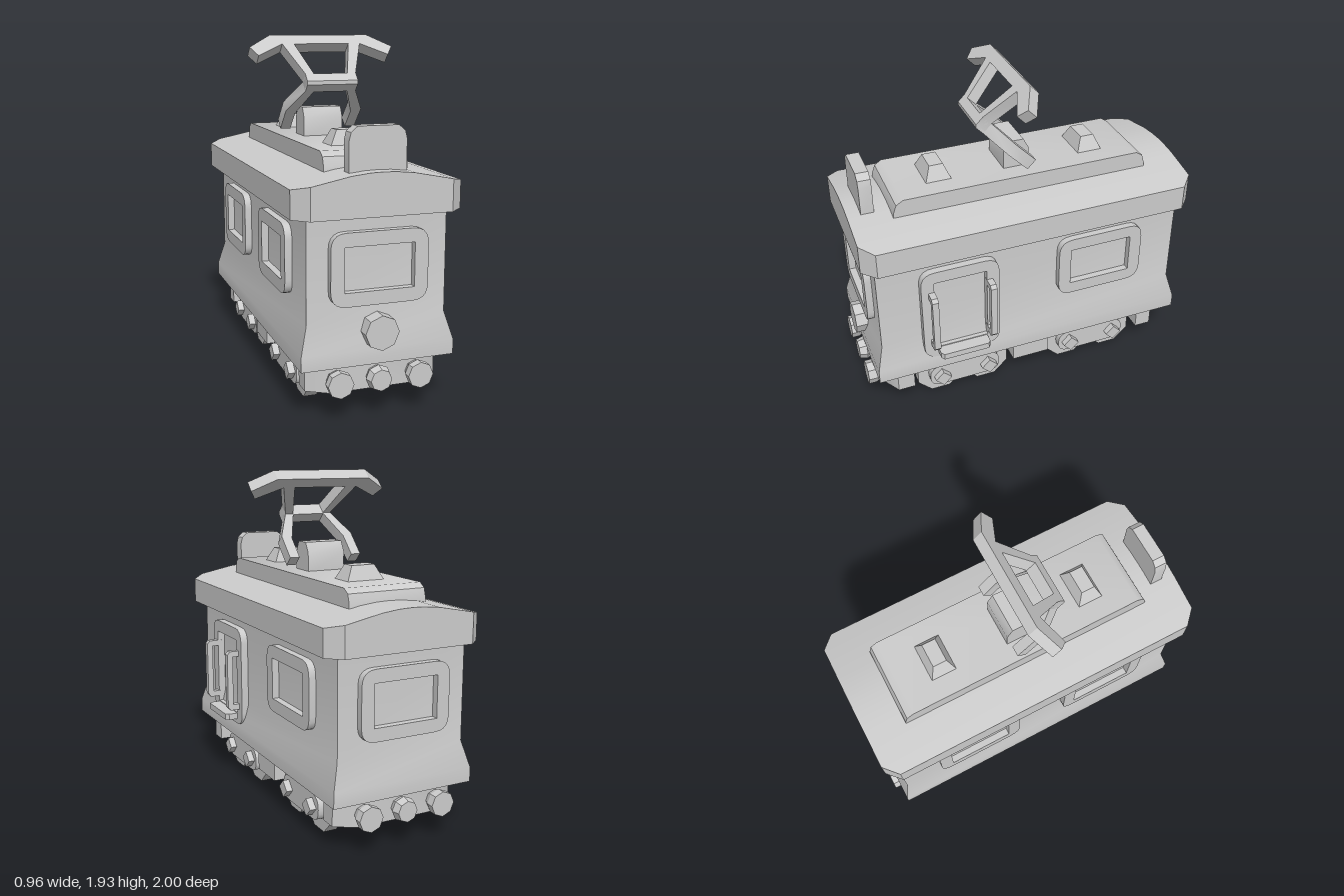
import * as THREE from 'three';
import { toCreasedNormals } from 'three/addons/utils/BufferGeometryUtils.js';

const grey = new THREE.MeshStandardMaterial({ color: 0xcccccc });

function add(parent, name, geometry, x = 0, y = 0, z = 0) {
  const mesh = new THREE.Mesh(toCreasedNormals(geometry, 0.6), grey);
  mesh.name = name;
  mesh.position.set(x, y, z);
  parent.add(mesh);
  return mesh;
}

const shapeOf = (pts) => new THREE.Shape(pts.map(([x, y]) => new THREE.Vector2(x, y)));
const extrude = (shape, depth) =>
  new THREE.ExtrudeGeometry(shape, { depth, bevelEnabled: false, curveSegments: 5 });

// Side profile of [z, y] points, extruded across the width
const across = (pts, half) =>
  extrude(shapeOf(pts.map(([z, y]) => [-z, y])), half * 2).translate(0, 0, -half).rotateY(Math.PI / 2);

// Skin over a row of rings, closed at both ends
function loft(rings) {
  const out = [];
  const n = rings[0].length;
  const tri = (...p) => p.forEach((v) => out.push(...v));
  for (let r = 0; r < rings.length - 1; r++) {
    for (let i = 0; i < n; i++) {
      const j = (i + 1) % n, a = rings[r], b = rings[r + 1];
      tri(a[i], a[j], b[j]);
      tri(a[i], b[j], b[i]);
    }
  }
  const first = rings[0], last = rings[rings.length - 1];
  for (let i = 1; i < n - 1; i++) {
    tri(first[0], first[i + 1], first[i]);
    tri(last[0], last[i], last[i + 1]);
  }
  const g = new THREE.BufferGeometry();
  g.setAttribute('position', new THREE.Float32BufferAttribute(out, 3));
  g.computeVertexNormals();
  return g;
}
const levelRing = ([y, hx, hz]) => [[hx, y, hz], [hx, y, -hz], [-hx, y, -hz], [-hx, y, hz]];

function roundedRect(w, h, r) {
  const s = new THREE.Shape(), x = w / 2, y = h / 2;
  s.moveTo(-x + r, -y).lineTo(x - r, -y).quadraticCurveTo(x, -y, x, -y + r);
  s.lineTo(x, y - r).quadraticCurveTo(x, y, x - r, y);
  s.lineTo(-x + r, y).quadraticCurveTo(-x, y, -x, y - r);
  s.lineTo(-x, -y + r).quadraticCurveTo(-x, -y, -x + r, -y);
  return s;
}

// Raised frame with a rectangular opening, turned to face its wall
function frame(parent, name, w, h, iw, ih, x, y, z, turn) {
  const s = roundedRect(w, h, 0.085);
  s.holes.push(new THREE.Path([[-1, -1], [-1, 1], [1, 1], [1, -1]]
    .map(([a, b]) => new THREE.Vector2(a * iw / 2, b * ih / 2))));
  add(parent, name, extrude(s, 0.08).translate(0, 0, -0.04), x, y, z).rotation.y = turn;
}

function addPantograph(parent) {
  const elbowY = 1.67, elbowZ = 0.205, t = 0.07;
  const mirrored = (half) => [...half, ...half.map(([x, y]) => [-x, y]).reverse()];
  const slab = (pts, hole) => {
    const s = shapeOf(pts);
    if (hole) s.holes.push(new THREE.Path(hole.map(([x, y]) => new THREE.Vector2(x, y))));
    return extrude(s, t).translate(0, 0, -t / 2);
  };
  // Upper arms with the winged contact bar
  add(parent, 'pantographUpperFrame', slab(
    mirrored([[0.15, -0.02], [0.15, 0.035], [0.235, 0.263], [0.39, 0.175], [0.43, 0.24], [0.295, 0.333]]),
    [[-0.1, 0.035], [0.1, 0.035], [0.165, 0.263], [-0.165, 0.263]],
  ), 0, elbowY, elbowZ).rotation.x = -Math.PI / 4;
  // Lower arms running down to the base
  add(parent, 'pantographLowerFrame', slab(
    mirrored([[0.15, 0.02], [0.15, -0.035], [0.23, -0.2], [0.23, -0.36], [0.17, -0.36], [0.17, -0.22], [0.1, -0.04]]),
  ), 0, elbowY, elbowZ).rotation.x = Math.PI / 4;
  add(parent, 'pantographElbow',
    across([[0.244, 1.681], [0.2, 1.7], [0.2, 1.64], [0.244, 1.659]], 0.15));
  add(parent, 'pantographBase', across(
    [[0.075, 1.34], [0.075, 1.46], [0.045, 1.52], [-0.045, 1.52], [-0.078, 1.46], [-0.078, 1.34]], 0.117));
}

function addBogie(parent, zc) {
  const bogie = new THREE.Group();
  bogie.name = 'bogie';
  bogie.position.z = zc;
  parent.add(bogie);
  // Rounded truck spanning between the wheels
  const truck = roundedRect(0.44, 0.145, 0.07);
  add(bogie, 'truck', extrude(truck, 0.69).translate(0, 0, -0.345).rotateY(Math.PI / 2), 0, 0.14, 0);
  add(bogie, 'pivot', new THREE.BoxGeometry(0.66, 0.12, 0.16), 0, 0.24, 0);
  for (const side of [-1, 1]) {
    for (const dz of [-0.147, 0.147]) {
      add(bogie, 'wheel',
        new THREE.CylinderGeometry(0.15, 0.15, 0.075, 8).rotateY(Math.PI / 8).rotateZ(Math.PI / 2),
        side * 0.265, 0.14, dz);
      add(bogie, 'hub',
        new THREE.CylinderGeometry(0.05, 0.05, 0.05, 4).rotateZ(Math.PI / 2), side * 0.358, 0.14, dz);
    }
  }
}

export function createModel() {
  const model = new THREE.Group();
  model.name = 'tram';
  const tram = new THREE.Group();
  tram.name = 'tramCar';
  tram.position.x = -0.022;
  model.add(tram);

  // Body with flared skirt
  add(tram, 'body', loft([
    [0.28, 0.42, 0.957], [0.36, 0.42, 0.957], [0.51, 0.38, 0.918], [1.1, 0.38, 0.918],
  ].map(levelRing)));

  // Arched roof with cut corners: x, top height, half length
  const half = [[0.46, 1.205, 0.915], [0.38, 1.225, 0.99], [0.17, 1.267, 0.99], [0.07, 1.278, 0.99]];
  const columns = [...half.map(([x, y, z]) => [-x, y, z]), [0, 1.28, 0.99], ...[...half].reverse()];
  add(tram, 'roof', loft(columns.map(([x, y, z]) =>
    [[x, y, -z], [x, y, z], [x, 1.055, z], [x, 1.055, -z]])));
  add(tram, 'roofDeck', across([[0.755, 1.24], [0.753, 1.28], [0.735, 1.33], [0.695, 1.355],
    [-0.71, 1.355], [-0.75, 1.33], [-0.765, 1.28], [-0.767, 1.24]], 0.232));

  // Roof vents and front sign board
  for (const z of [0.456, -0.464]) {
    add(tram, 'roofVent', loft([[1.345, 0.117, 0.078], [1.436, 0.07, 0.04]].map(levelRing)), 0, 0, z);
  }
  add(tram, 'signBoard', extrude(shapeOf([[-0.155, 1.2], [0.155, 1.2], [0.155, 1.43], [0.145, 1.47],
    [0.11, 1.5], [-0.11, 1.5], [-0.145, 1.47], [-0.155, 1.43]]), 0.073), 0, 0, 0.84);
  addPantograph(tram);

  // Windows on the ends and sides
  const win = (x, z, turn) => frame(tram, 'windowFrame', 0.53, 0.383, 0.38, 0.235, x, 0.788, z, turn);
  win(0, 0.918, 0);
  win(0, -0.918, Math.PI);
  win(0.38, -0.418, Math.PI / 2);
  win(-0.38, -0.418, -Math.PI / 2);
  win(-0.38, 0.418, -Math.PI / 2);

  // Door on the left side with step and grab handles
  frame(tram, 'doorFrame', 0.46, 0.605, 0.31, 0.46, 0.383, 0.675, 0.45, Math.PI / 2);
  add(tram, 'doorStep', extrude(shapeOf([[0.15, 0], [0.15, 0.08], [0.135, 0.1], [-0.135, 0.1],
    [-0.15, 0.08], [-0.15, 0]]), 0.037).rotateX(-Math.PI / 2).rotateY(-Math.PI / 2).rotateY(0),
  0.397, 0.403, 0.45).rotation.y = 0;
  const handle = shapeOf([[0.4, 0.475], [0.48, 0.475], [0.497, 0.495], [0.497, 0.825], [0.48, 0.845],
    [0.4, 0.845], [0.4, 0.81], [0.462, 0.81], [0.462, 0.51], [0.4, 0.51]]);
  for (const z of [0.26, 0.603]) add(tram, 'grabHandle', extrude(handle, 0.037), 0, 0, z);

  // Headlight
  add(tram, 'headlight', new THREE.CylinderGeometry(0.093, 0.093, 0.12, 8).rotateX(Math.PI / 2), 0, 0.455, 0.94);

  // End beams with buffers
  for (const turn of [0, Math.PI]) {
    const end = new THREE.Group();
    end.name = 'endBeam';
    end.rotation.y = turn;
    tram.add(end);
    add(end, 'beam', extrude(shapeOf([[-0.365, -0.74], [-0.365, -0.84], [-0.25, -0.91], [0.25, -0.91],
      [0.365, -0.84], [0.365, -0.74]].reverse()), 0.17).rotateX(-Math.PI / 2), 0, 0.13, 0);
    for (const x of [-0.22, 0, 0.22]) {
      add(end, 'bufferStem', new THREE.CylinderGeometry(0.07, 0.048, 0.05, 8).rotateX(Math.PI / 2), x, 0.2, 0.925);
      add(end, 'bufferHead', new THREE.CylinderGeometry(x ? 0.07 : 0.058, 0.07, 0.045, 8).rotateX(Math.PI / 2),
        x, 0.2, 0.9725);
    }
  }

  // Running gear
  add(tram, 'underfloorBox', new THREE.BoxGeometry(0.73, 0.17, 0.23), 0, 0.215, -0.005);
  for (const z of [0.418, -0.424]) addBogie(tram, z);
  return model;
}
